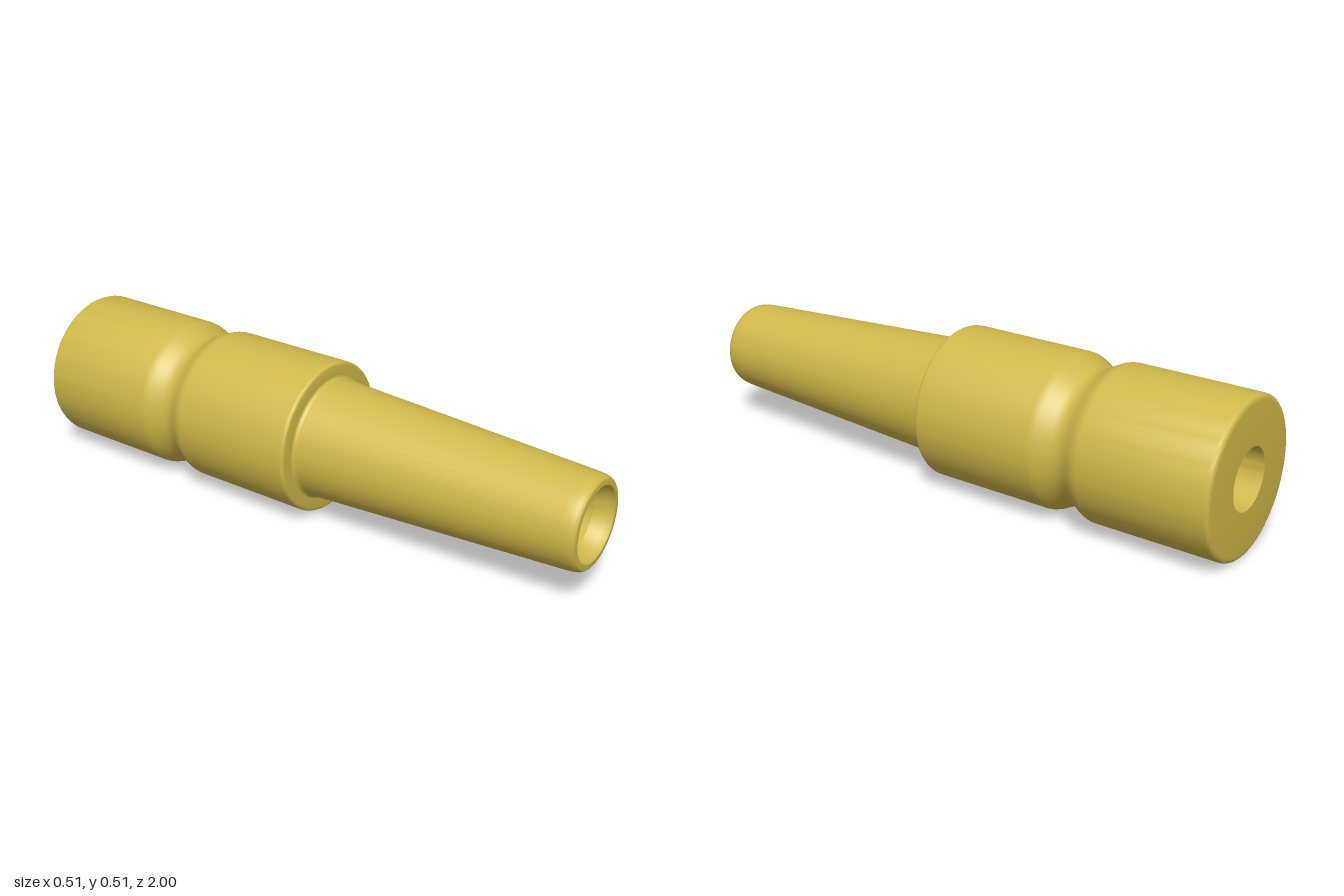
import * as THREE from 'three';
import { toCreasedNormals } from 'three/addons/utils/BufferGeometryUtils.js';

const R = 0.255; // body radius

// Quarter-round between two points, bulging towards the corner point
function round(r0, z0, rc, zc, r1, z1, n = 5) {
  return new THREE.QuadraticBezierCurve(
    new THREE.Vector2(r0, z0), new THREE.Vector2(rc, zc), new THREE.Vector2(r1, z1)
  ).getPoints(n);
}

// Surface of revolution about z from [radius, z] points
function turned(name, points, material) {
  const geo = new THREE.LatheGeometry(points, 64);
  geo.rotateX(Math.PI / 2);
  const mesh = new THREE.Mesh(toCreasedNormals(geo, 0.5), material);
  mesh.name = name;
  return mesh;
}

export function createModel() {
  const model = new THREE.Group();
  model.name = 'taperedSleeve';
  const brass = new THREE.MeshStandardMaterial({ color: 0xd0b84a });
  const v = (r, z) => new THREE.Vector2(r, z);

  // Cylindrical body: back face, rounded waist groove, rounded front shoulder
  const groove = [];
  for (let i = 0; i <= 16; i++) {
    const t = i / 16;
    groove.push(v(R - 0.0165 * (1 - Math.cos(t * Math.PI * 2)), -0.57 + t * 0.18));
  }
  const body = [
    v(0.1, -1),
    ...round(0.237, -1, R, -1, R, -0.982),
    ...groove,
    ...round(R, 0.025, R, 0.04, 0.245, 0.04),
    v(0.211, 0.04),
  ];
  model.add(turned('body', body, brass));

  // Tapered nose with a fillet at its root and a rounded tip
  const nose = [
    ...round(0.211, 0.04, 0.2, 0.04, 0.199, 0.055),
    v(0.153, 0.95),
    ...round(0.152, 0.965, 0.149, 1, 0.135, 1),
    v(0.122, 1),
  ];
  model.add(turned('taperedNose', nose, brass));

  // Countersunk mouth and through bore, facing inwards
  const bore = [v(0.122, 1), v(0.12, 0.975), v(0.1, 0.94), v(0.1, -1)];
  model.add(turned('bore', bore, brass));

  model.position.y = R;
  return model;
}
